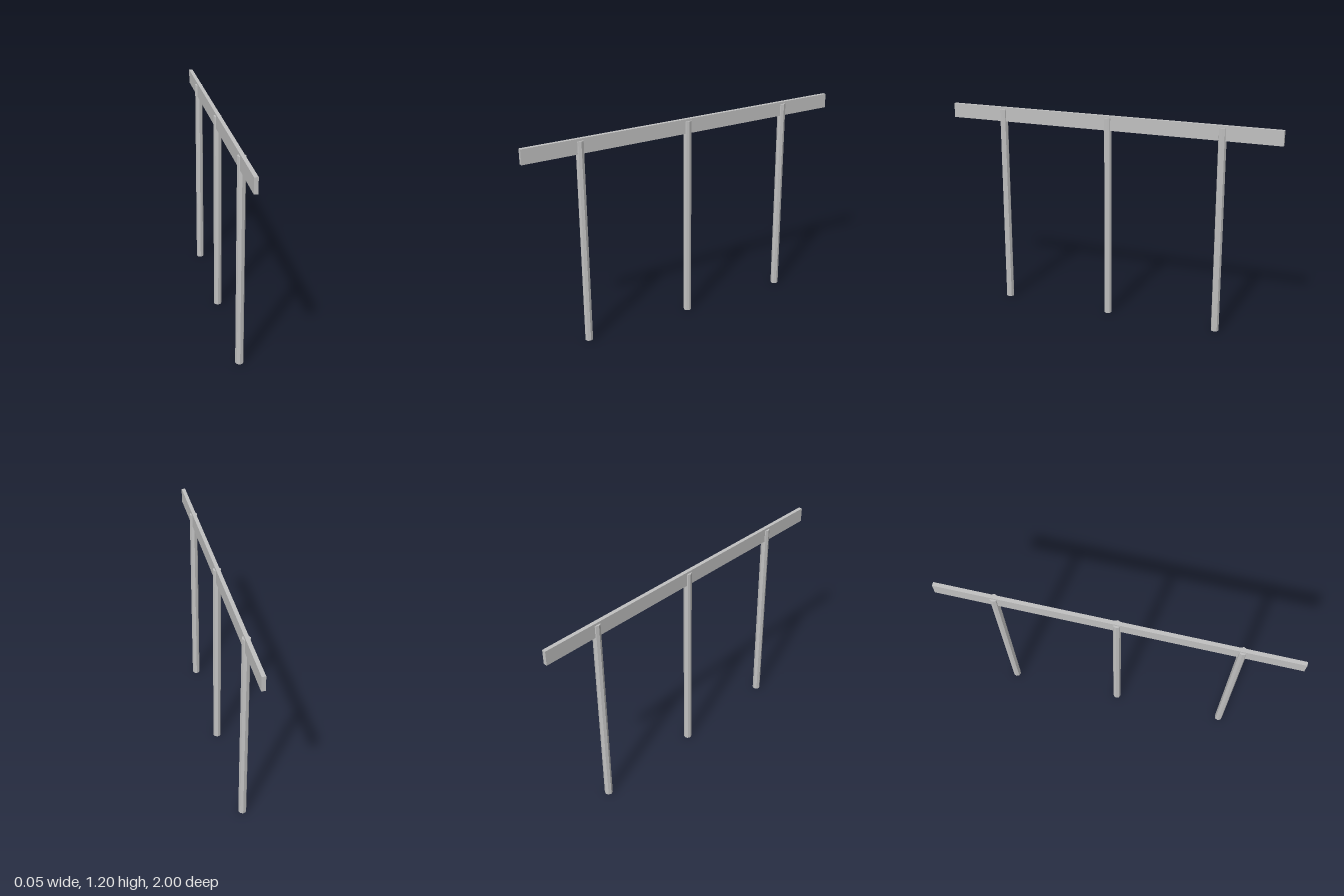
import * as THREE from 'three';

export function createModel() {
  const model = new THREE.Group();
  const grey = new THREE.MeshStandardMaterial({ color: 0xc0c0c0, flatShading: true, side: THREE.DoubleSide });
  grey.name = 'grey metal';

  const RAIL_TOP = 1.2, RAIL_HEIGHT = 0.084, RAIL_WIDTH = 0.022;
  const POST_HEIGHT = 1.187, POST_RADIUS = 0.023, SIDES = 8;

  const add = (name, geometry, parent = model) => {
    const mesh = new THREE.Mesh(geometry, grey);
    mesh.name = name;
    parent.add(mesh);
    return mesh;
  };

  // Long flat rail along z
  add('rail', new THREE.BoxGeometry(RAIL_WIDTH, RAIL_HEIGHT, 2)).position.y = RAIL_TOP - RAIL_HEIGHT / 2;

  // Three tubular posts, capped on top and open at the foot
  const tube = new THREE.CylinderGeometry(POST_RADIUS, POST_RADIUS, POST_HEIGHT, SIDES, 1, true);
  const cap = new THREE.CircleGeometry(POST_RADIUS, SIDES).rotateX(-Math.PI / 2);
  for (const [name, z] of [['frontPost', 0.667], ['middlePost', 0], ['backPost', -0.667]]) {
    const post = new THREE.Group();
    post.name = name;
    post.position.z = z;
    add('postTube', tube, post).position.y = POST_HEIGHT / 2;
    add('postCap', cap, post).position.y = POST_HEIGHT;
    model.add(post);
  }

  return model;
}
